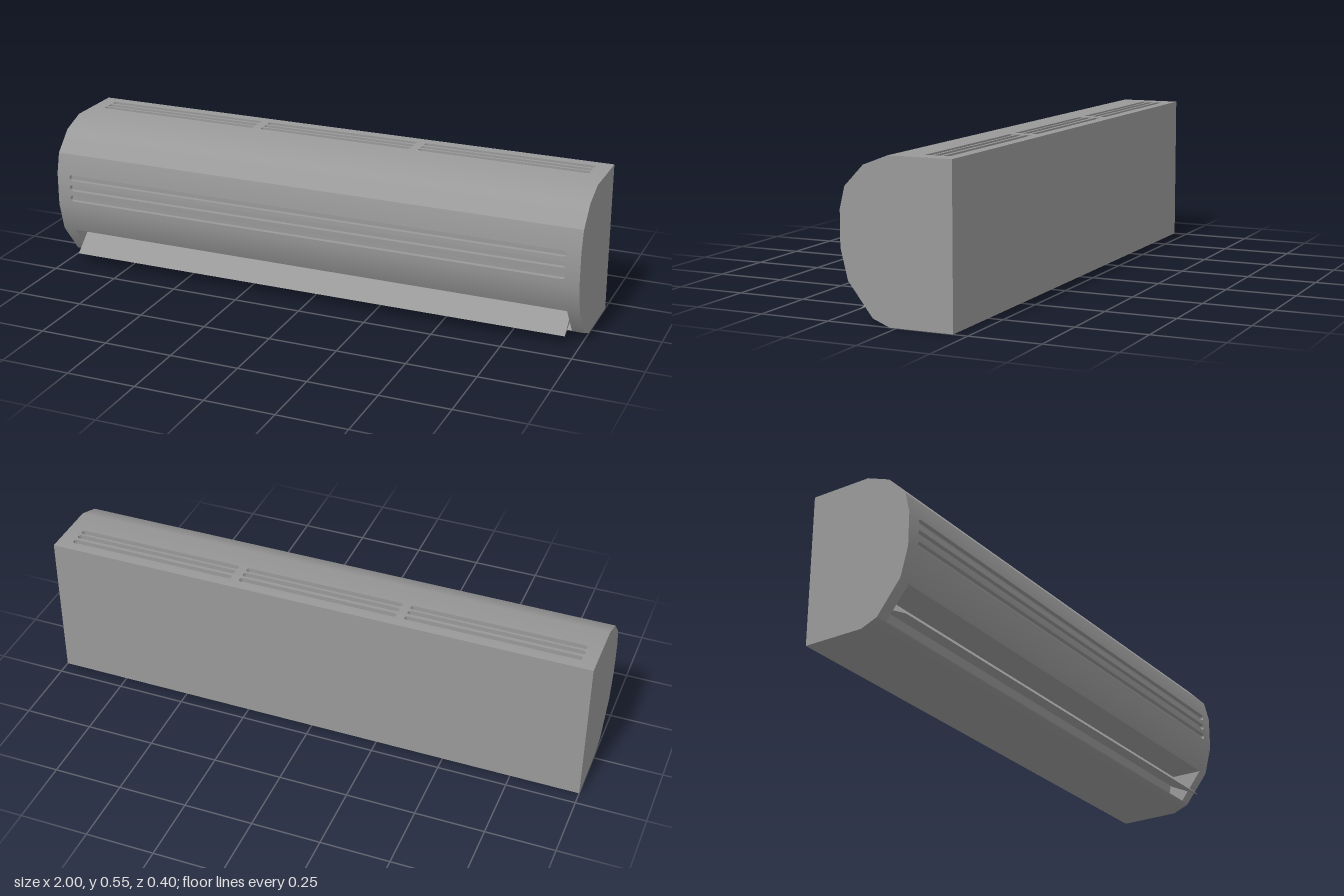
import * as THREE from 'three';

const grey = new THREE.MeshStandardMaterial({ color: 0x999999, side: THREE.DoubleSide });
grey.name = 'grey plastic';

// Cross-section as [z, y], from the lower back edge round the front to the upper back edge
const PROFILE = [
  [-0.199, 0], [0.025, 0], [0.085, 0.024], [0.173, 0.138], [0.199, 0.243], [0.199, 0.366],
  [0.181, 0.44], [0.113, 0.511], [0.025, 0.545], [-0.199, 0.545],
];
const CREASE = Math.cos(THREE.MathUtils.degToRad(30));
const OUTLET = 0.955;
const lerp = THREE.MathUtils.lerp;

// Outward unit normal [z, y] of the edge a-b
function edgeNormal(a, b) {
  const dz = b[0] - a[0], dy = b[1] - a[1], l = Math.hypot(dz, dy);
  return [dy / l, -dz / l];
}

// Average two edge normals unless the corner is sharp
function blend(n, other) {
  if (n[0] * other[0] + n[1] * other[1] < CREASE) return n;
  const z = n[0] + other[0], y = n[1] + other[1], l = Math.hypot(z, y);
  return [z / l, y / l];
}

function addMesh(group, geometry, name) {
  const mesh = new THREE.Mesh(geometry, grey);
  mesh.name = name;
  group.add(mesh);
}

// Long panel spanning edge a-b, with holes given in (x, distance from a)
function panel(a, b, na, nb, halfWidth, holes = []) {
  const length = Math.hypot(b[0] - a[0], b[1] - a[1]);
  const shape = new THREE.Shape([
    new THREE.Vector2(-halfWidth, 0), new THREE.Vector2(halfWidth, 0),
    new THREE.Vector2(halfWidth, length), new THREE.Vector2(-halfWidth, length),
  ]);
  holes.forEach((h) => shape.holes.push(new THREE.Path(h)));
  const g = new THREE.ShapeGeometry(shape);
  const p = g.attributes.position, n = g.attributes.normal;
  for (let i = 0; i < p.count; i++) {
    const t = p.getY(i) / length;
    p.setXYZ(i, p.getX(i), lerp(a[1], b[1], t), lerp(a[0], b[0], t));
    const ny = lerp(na[1], nb[1], t), nz = lerp(na[0], nb[0], t), l = Math.hypot(ny, nz);
    n.setXYZ(i, 0, ny / l, nz / l);
  }
  return g;
}

// Rounded slot outline centred on height v
function slot(x0, x1, v, r = 0.011) {
  const pts = [];
  for (const [x, start] of [[x1 - r, -Math.PI / 2], [x0 + r, Math.PI / 2]]) {
    for (let i = 0; i <= 6; i++) {
      const a = start + (i / 6) * Math.PI;
      pts.push(new THREE.Vector2(x + r * Math.cos(a), v + r * Math.sin(a)));
    }
  }
  return pts;
}

// Walls and floor of a blind slot, sunk along -z below its outline
function slotWell(outline, depth = 0.016) {
  const pos = [];
  outline.forEach((p, i) => {
    const q = outline[(i + 1) % outline.length];
    pos.push(p.x, p.y, 0, p.x, p.y, -depth, q.x, q.y, -depth,
      p.x, p.y, 0, q.x, q.y, -depth, q.x, q.y, 0);
  });
  const walls = new THREE.BufferGeometry();
  walls.setAttribute('position', new THREE.Float32BufferAttribute(pos, 3));
  walls.computeVertexNormals();
  const floor = new THREE.ShapeGeometry(new THREE.Shape(outline)).translate(0, 0, -depth);
  return [walls, floor];
}

// Flat end plate from [z, y] points at x, facing the given side
function endPlate(points, x, side) {
  const shape = new THREE.Shape(points.map(([z, y]) => new THREE.Vector2(-side * z, y)));
  return new THREE.ShapeGeometry(shape).rotateY(side * Math.PI / 2).translate(x, 0, 0);
}

export function createModel() {
  const model = new THREE.Group();
  model.name = 'wallAirConditioner';

  // Slots: three long rows in front, three banks of three on top
  const frontSlots = [0.272, 0.313, 0.353].map((y) => slot(-0.95, 0.95, y - 0.243));
  const topSlots = [];
  for (const [x0, x1] of [[-0.95, -0.325], [-0.295, 0.29], [0.32, 0.945]]) {
    for (const z of [-0.149, -0.116, -0.086]) topSlots.push(slot(x0, x1, 0.025 - z));
  }

  // Air outlet opening in the sloping lower front
  const slope = Math.hypot(0.088, 0.114);
  const outletHole = [[-1, 0.004], [1, 0.004], [1, slope - 0.004], [-1, slope - 0.004]]
    .map(([s, v]) => new THREE.Vector2(s * OUTLET, v));
  const holes = { 2: [outletHole], 4: frontSlots, 8: topSlots };
  const names = { 2: 'outletSurround', 4: 'frontPanel', 8: 'topPanel', 9: 'backPanel' };

  // Casing
  const casing = new THREE.Group();
  casing.name = 'casing';
  const count = PROFILE.length;
  const normals = PROFILE.map((p, i) => edgeNormal(p, PROFILE[(i + 1) % count]));
  PROFILE.forEach((a, i) => {
    const b = PROFILE[(i + 1) % count], n = normals[i];
    const na = blend(n, normals[(i + count - 1) % count]);
    const nb = blend(n, normals[(i + 1) % count]);
    addMesh(casing, panel(a, b, na, nb, 1, holes[i]), names[i] || 'casingPanel');
  });
  for (const side of [-1, 1]) addMesh(casing, endPlate(PROFILE, side, side), 'endPlate');
  model.add(casing);

  // Slot interiors
  const frontWells = new THREE.Group();
  frontWells.name = 'frontSlots';
  frontWells.position.set(0, 0.243, 0.199);
  frontSlots.forEach((s) => slotWell(s).forEach((g) => addMesh(frontWells, g, 'frontSlot')));
  const topWells = new THREE.Group();
  topWells.name = 'topSlots';
  topWells.position.set(0, 0.545, 0.025);
  topWells.rotation.x = -Math.PI / 2;
  topSlots.forEach((s) => slotWell(s).forEach((g) => addMesh(topWells, g, 'topSlot')));
  model.add(frontWells, topWells);

  // Air outlet channel
  const channel = [[0.0874, 0.0272], [0.03, 0.06], [0.045, 0.135], [0.1706, 0.1348]];
  const outlet = new THREE.Group();
  outlet.name = 'airOutlet';
  for (let i = 0; i < 3; i++) {
    const n = edgeNormal(channel[i], channel[i + 1]);
    addMesh(outlet, panel(channel[i], channel[i + 1], n, n, OUTLET), 'outletWall');
  }
  for (const side of [-1, 1]) addMesh(outlet, endPlate(channel, side * OUTLET, -side), 'outletCheek');
  model.add(outlet);

  // Wedge-shaped flap leaning out of the outlet
  const wedge = [[0.162, 0.036], [0.06, 0.128], [0.048, 0.092]];
  const flap = new THREE.ExtrudeGeometry(
    new THREE.Shape(wedge.map(([z, y]) => new THREE.Vector2(z, y))),
    { depth: 1.9, bevelEnabled: false },
  ).rotateY(-Math.PI / 2).translate(0.95, 0, 0);
  addMesh(model, flap, 'flap');

  return model;
}
